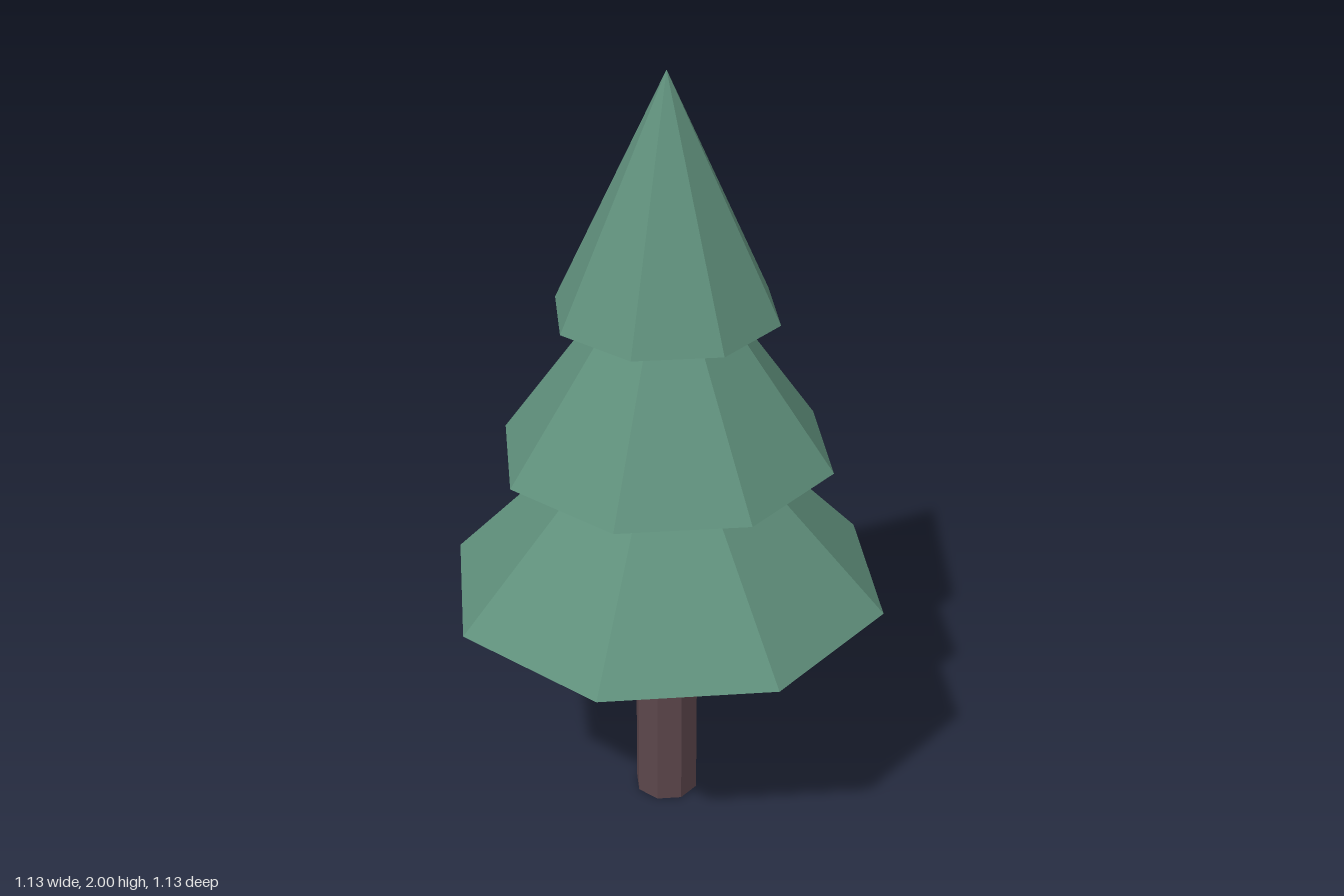
import * as THREE from 'three';

export function createModel() {
  const tree = new THREE.Group();
  tree.name = 'pineTree';

  const needleGreen = new THREE.MeshStandardMaterial({ color: 0x5f8f7b, flatShading: true });
  needleGreen.name = 'needle green';
  const barkBrown = new THREE.MeshStandardMaterial({ color: 0x5c464b, flatShading: true });
  barkBrown.name = 'bark brown';

  const SIDES = 8;

  // Trunk: octagonal post ending at the underside of the lowest tier
  const trunkHeight = 0.65;
  const trunk = new THREE.Mesh(
    new THREE.CylinderGeometry(0.083, 0.083, trunkHeight, SIDES), barkBrown);
  trunk.name = 'trunk';
  trunk.position.y = trunkHeight / 2;
  tree.add(trunk);

  // Foliage: three stacked eight-sided cones, narrowing upwards
  const tierHeight = 0.6;
  const tiers = [
    { name: 'lowerFoliage', radius: 0.565, base: 0.645 },
    { name: 'middleFoliage', radius: 0.424, base: 1.023 },
    { name: 'upperFoliage', radius: 0.282, base: 1.4 },
  ];
  for (const { name, radius, base } of tiers) {
    const tier = new THREE.Mesh(
      new THREE.ConeGeometry(radius, tierHeight, SIDES), needleGreen);
    tier.name = name;
    tier.position.y = base + tierHeight / 2;
    tree.add(tier);
  }

  return tree;
}
